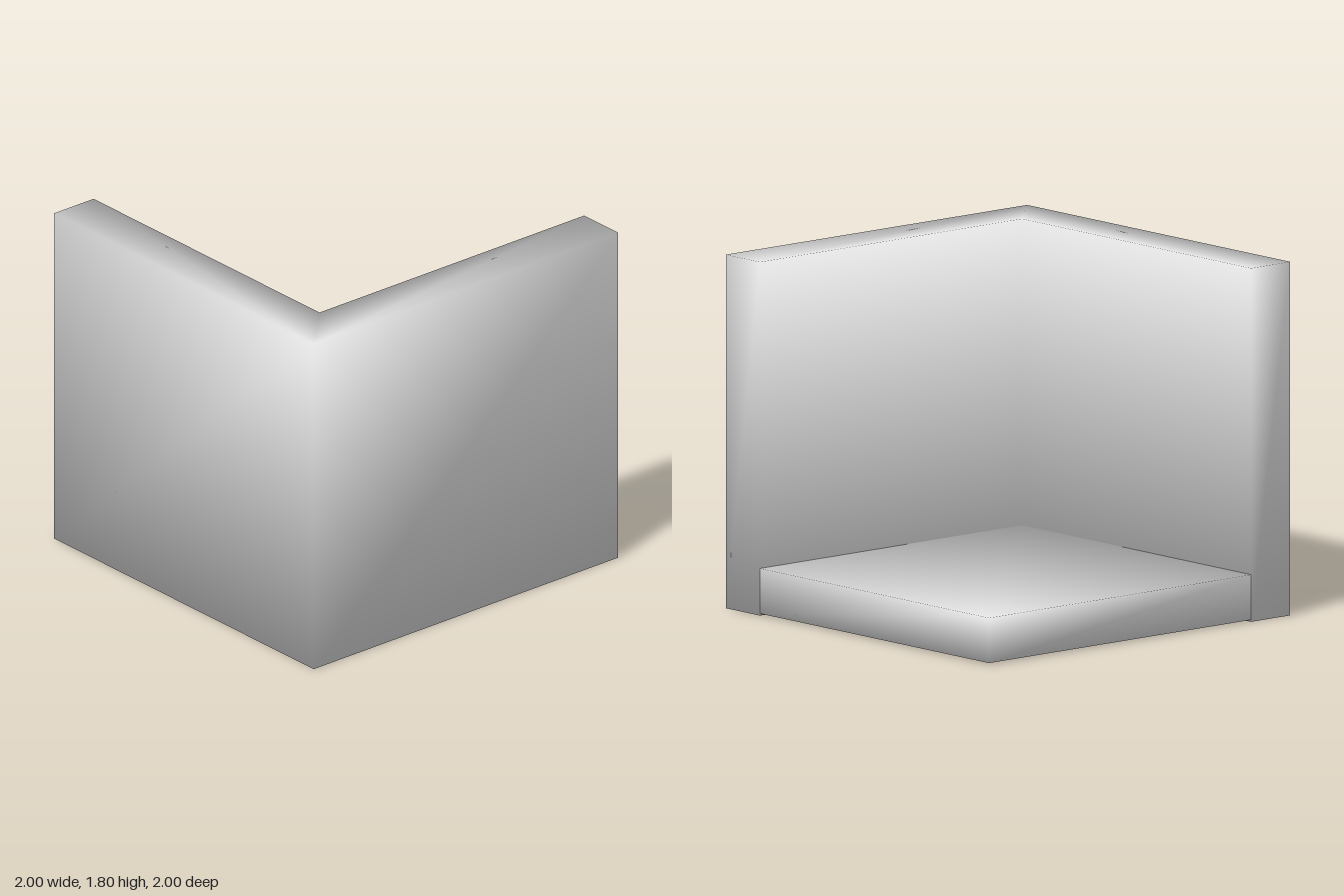
import * as THREE from 'three';

// Upright prism over a counter-clockwise plan of [x, -z] points, with shared
// corner vertices whose normals average the faces meeting there.
function prism(name, plan, y0, y1, material) {
  const n = plan.length;
  const edgeNormal = (i) => {
    const [a, b] = [plan[i % n], plan[(i + 1) % n]];
    return new THREE.Vector3(b[1] - a[1], 0, b[0] - a[0]).normalize();
  };
  const positions = [], normals = [], index = [];
  for (const [y, up] of [[y0, -1], [y1, 1]]) {
    plan.forEach(([x, s], i) => {
      positions.push(x, y, -s);
      const normal = edgeNormal(i).add(edgeNormal(i + n - 1));
      normal.y = up;
      normals.push(...normal.normalize().toArray());
    });
  }
  // Sides
  for (let i = 0; i < n; i++) {
    const j = (i + 1) % n;
    index.push(i, j, j + n, i, j + n, i + n);
  }
  // Top and bottom
  const contour = plan.map(([x, s]) => new THREE.Vector2(x, s));
  for (const [a, b, c] of THREE.ShapeUtils.triangulateShape(contour, [])) {
    index.push(a + n, b + n, c + n, c, b, a);
  }
  const geometry = new THREE.BufferGeometry();
  geometry.setAttribute('position', new THREE.Float32BufferAttribute(positions, 3));
  geometry.setAttribute('normal', new THREE.Float32BufferAttribute(normals, 3));
  geometry.setIndex(index);
  const mesh = new THREE.Mesh(geometry, material);
  mesh.name = name;
  return mesh;
}

export function createModel() {
  const group = new THREE.Group();
  group.name = 'cornerRoom';
  const material = new THREE.MeshStandardMaterial({ color: 0xcccccc });
  const inner = -0.74;

  // L-shaped pair of walls along the front and one side
  group.add(prism('cornerWalls',
    [[-1, -1], [1, -1], [1, inner], [inner, inner], [inner, 1], [-1, 1]], 0, 1.8, material));

  // Floor slab set into the corner of the walls
  group.add(prism('floorSlab',
    [[inner, inner], [1, inner], [1, 1], [inner, 1]], 0.01, 0.24, material));

  return group;
}
